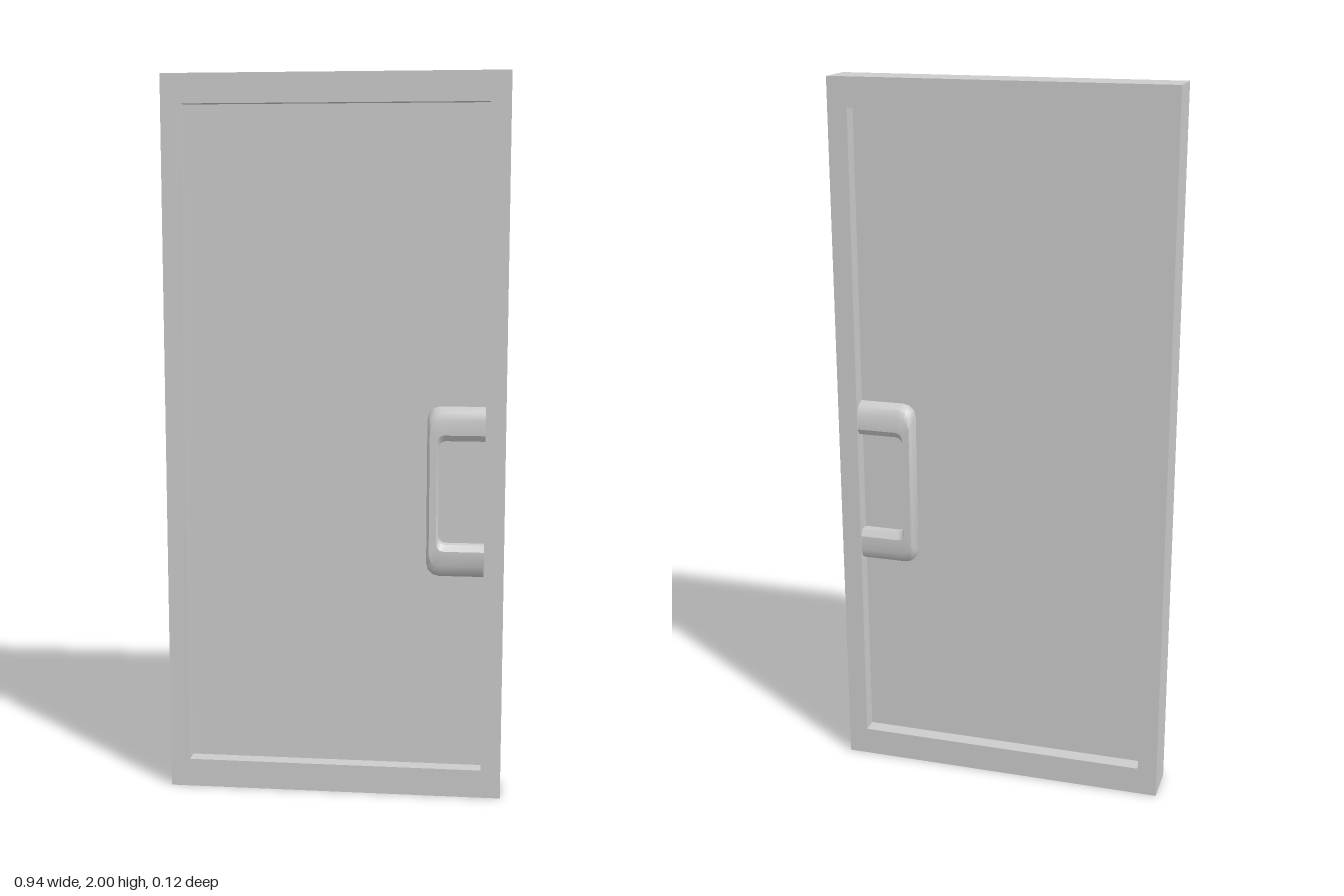
import * as THREE from 'three';
import { toCreasedNormals } from 'three/addons/utils/BufferGeometryUtils.js';

const material = new THREE.MeshStandardMaterial({ color: 0xcccccc });

function part(name, geometry) {
  const mesh = new THREE.Mesh(geometry, material);
  mesh.name = name;
  return mesh;
}

// Rectangular surround with an opening
function frameGeometry() {
  const rect = (Type, x, y0, y1) => new Type([
    new THREE.Vector2(-x, y0), new THREE.Vector2(x, y0),
    new THREE.Vector2(x, y1), new THREE.Vector2(-x, y1),
  ]);
  const shape = rect(THREE.Shape, 0.47, 0, 2);
  shape.holes.push(rect(THREE.Path, 0.415, 0.08, 1.92));
  return new THREE.ExtrudeGeometry(shape, { depth: 0.12, bevelEnabled: false }).translate(0, 0, -0.06);
}

// C-shaped contour with rounded corners: left edge x, half height h, corner radius r
function contour(x, h, r, z) {
  const end = 0.43, midY = 0.868, steps = 3;
  const points = [[end, h]];
  for (const side of [1, -1]) {
    for (let k = 0; k <= steps; k++) {
      const a = (side > 0 ? k : steps - k) / steps * Math.PI / 2;
      points.push([x + r - r * Math.sin(a), side * (h - r + r * Math.cos(a))]);
    }
  }
  points.push([end, -h]);
  return points.map(([px, py]) => [px, py + midY, z]);
}

// Pull handle: contours joined around its cross-section, the same on both faces
function handleGeometry() {
  const front = [
    [0.255, 0.237, 0.035, 0.03],
    [0.257, 0.226, 0.035, 0.047],
    [0.263, 0.203, 0.03, 0.057],
    [0.283, 0.162, 0.02, 0.057],
    [0.287, 0.145, 0.02, 0.045],
  ];
  const back = front.map(([x, h, r, z]) => [x, h, r, -z]).reverse();
  const rings = [...front, ...back].map((c) => contour(...c));
  const n = rings[0].length;
  const index = [];
  for (let j = 0; j < rings.length; j++) {
    const next = (j + 1) % rings.length;
    for (let i = 0; i < n - 1; i++) {
      const a = j * n + i, b = a + 1, d = next * n + i, c = d + 1;
      index.push(a, b, c, a, c, d);
    }
  }
  const geometry = new THREE.BufferGeometry();
  geometry.setAttribute('position', new THREE.Float32BufferAttribute(rings.flat(2), 3));
  geometry.setIndex(index);
  return toCreasedNormals(geometry, 0.6);
}

export function createModel() {
  const door = new THREE.Group();
  door.name = 'door';
  door.add(part('frame', frameGeometry()));
  door.add(part('panel', new THREE.BoxGeometry(0.84, 1.85, 0.034).translate(0, 1, 0)));
  door.add(part('handle', handleGeometry()));
  return door;
}
